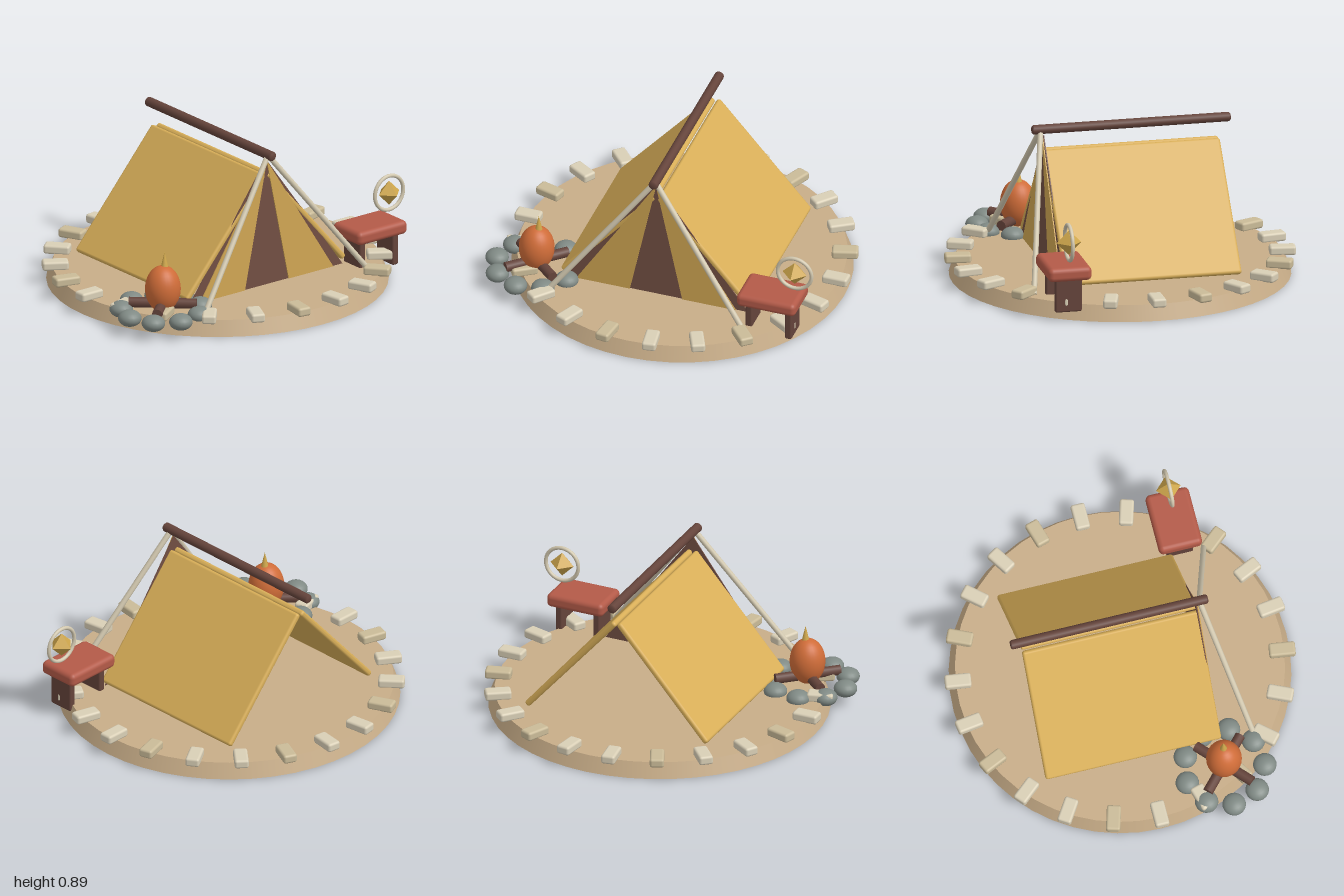
import * as THREE from 'three';
import { RoundedBoxGeometry } from 'three/addons/geometries/RoundedBoxGeometry.js';

const mat = (color, extra = {}) => new THREE.MeshStandardMaterial({ color, ...extra });
const M = {
  sand: mat(0xc8ad88),
  paleStone: mat(0xd9cfb6),
  tanStone: mat(0xcabb98),
  canvas: mat(0xd8ae58),
  flap: mat(0xd0a653, { side: THREE.DoubleSide }),
  lining: mat(0x724f43, { side: THREE.DoubleSide }),
  wood: mat(0x65443b),
  rope: mat(0xd3c9b0),
  flame: mat(0xcf6c38),
  gold: mat(0xcfa74c, { flatShading: true }),
  spark: mat(0xcfa74c),
  rock: mat(0x808a85),
  red: mat(0xb35a48),
};
const CX = 0.012; // centre line of the tent and platform

function add(parent, name, geometry, material, x = 0, y = 0, z = 0) {
  const mesh = new THREE.Mesh(geometry, material);
  mesh.name = name;
  mesh.position.set(x, y, z);
  parent.add(mesh);
  return mesh;
}

function group(parent, name) {
  const g = new THREE.Group();
  g.name = name;
  parent.add(g);
  return g;
}

// Round pole running between two points
function pole(parent, name, a, b, radius, material, sides = 12) {
  const from = new THREE.Vector3(...a), to = new THREE.Vector3(...b);
  const dir = to.clone().sub(from);
  const mesh = add(parent, name, new THREE.CylinderGeometry(radius, radius, dir.length(), sides), material);
  mesh.position.copy(from).add(to).multiplyScalar(0.5);
  mesh.quaternion.setFromUnitVectors(new THREE.Vector3(0, 1, 0), dir.normalize());
  return mesh;
}

// Thin upright triangle given by its three corners
function triangle(parent, name, corners, z, material) {
  const shape = new THREE.Shape(corners.map(([x, y]) => new THREE.Vector2(x, y)));
  const geometry = new THREE.ExtrudeGeometry(shape, { depth: 0.006, bevelEnabled: false });
  return add(parent, name, geometry, material, CX, 0, z);
}

function buildPlatform(root) {
  const g = group(root, 'platform');
  add(g, 'ground', new THREE.CylinderGeometry(0.92, 0.955, 0.088, 48), M.sand, CX, 0.044, 0);
  // Ring of edging blocks pointing outwards
  const block = new RoundedBoxGeometry(0.148, 0.052, 0.08, 2, 0.014);
  const count = 22;
  for (let i = 0; i < count; i++) {
    const a = (i / count) * Math.PI * 2;
    const mesh = add(g, 'edgingBlock', block, i % 3 === 1 ? M.tanStone : M.paleStone,
      CX + 0.908 * Math.cos(a), 0.108, -0.908 * Math.sin(a));
    mesh.rotation.y = a;
  }
}

function buildTent(root) {
  const g = group(root, 'tent');
  const slab = new RoundedBoxGeometry(0.83, 0.035, 1.01, 2, 0.015);
  for (const s of [-1, 1]) {
    // Sloping roof panel
    const roof = add(g, 'roofPanel', slab, M.canvas, CX + s * 0.283, 0.43, -0.062);
    roof.rotation.z = -s * 0.855;
    // Canvas flap beside the entrance
    triangle(g, 'entranceFlap', [[0, 0.825], [s * 0.155, 0.088], [s * 0.47, 0.088]], 0.441, M.flap);
    // Slanted front support
    pole(g, 'frontSupport', [CX, 0.86, 0.455], [CX + s * 0.585, 0.09, 0.628], 0.016, M.rope);
  }
  triangle(g, 'entranceLining', [[-0.54, 0.088], [0.54, 0.088], [0, 0.83]], 0.434, M.lining);
  // Ridge pole with softened ends
  const r = 0.027, h = 0.567;
  const profile = [[0, -h], [r * 0.7, -h], [r, -h + 0.009], [r, h - 0.009], [r * 0.7, h], [0, h]]
    .map(([x, y]) => new THREE.Vector2(x, y));
  const ridge = add(g, 'ridgePole', new THREE.LatheGeometry(profile, 12), M.wood, CX, 0.863, -0.063);
  ridge.rotation.x = Math.PI / 2;
}

function buildCampfire(root) {
  const g = group(root, 'campfire');
  g.position.set(-0.705, 0, 0.418);
  const fire = add(g, 'flame', new THREE.SphereGeometry(1, 28, 20), M.flame, 0.003, 0.22, 0);
  fire.scale.set(0.1, 0.135, 0.1);
  add(g, 'flameTip', new THREE.ConeGeometry(0.026, 0.11, 16), M.spark, 0.015, 0.38, 0);
  // Crossed logs
  for (const s of [-1, 1]) {
    pole(g, 'log', [-0.138, 0.135, -s * 0.128], [0.142, 0.135, s * 0.128], 0.029, M.wood);
  }
  // Ring of flattened stones
  const count = 9;
  const pebble = new THREE.SphereGeometry(0.066, 20, 14);
  for (let i = 0; i < count; i++) {
    const a = Math.PI + (i / count) * Math.PI * 2;
    const stone = add(g, 'fireStone', pebble, M.rock, -0.005 + 0.226 * Math.cos(a), 0.098, 0.226 * Math.sin(a));
    stone.scale.y = 0.7;
  }
}

function buildTable(root) {
  const g = group(root, 'table');
  add(g, 'tableTop', new RoundedBoxGeometry(0.348, 0.08, 0.248, 3, 0.028), M.red, 0.713, 0.275, 0.485);
  const leg = new RoundedBoxGeometry(0.04, 0.2, 0.152, 2, 0.01);
  for (const x of [0.6, 0.832]) add(g, 'tableLeg', leg, M.wood, x, 0.15, 0.488);
  // Hoop with a faceted gem floating in its centre
  const ornament = group(g, 'ornament');
  ornament.position.set(0.845, 0.454, 0.487);
  add(ornament, 'hoop', new THREE.TorusGeometry(0.1, 0.011, 10, 48), M.rope);
  add(ornament, 'gem', new THREE.OctahedronGeometry(0.071), M.gold);
}

export function createModel() {
  const root = new THREE.Group();
  root.name = 'campsite';
  buildPlatform(root);
  buildTent(root);
  buildCampfire(root);
  buildTable(root);
  return root;
}
